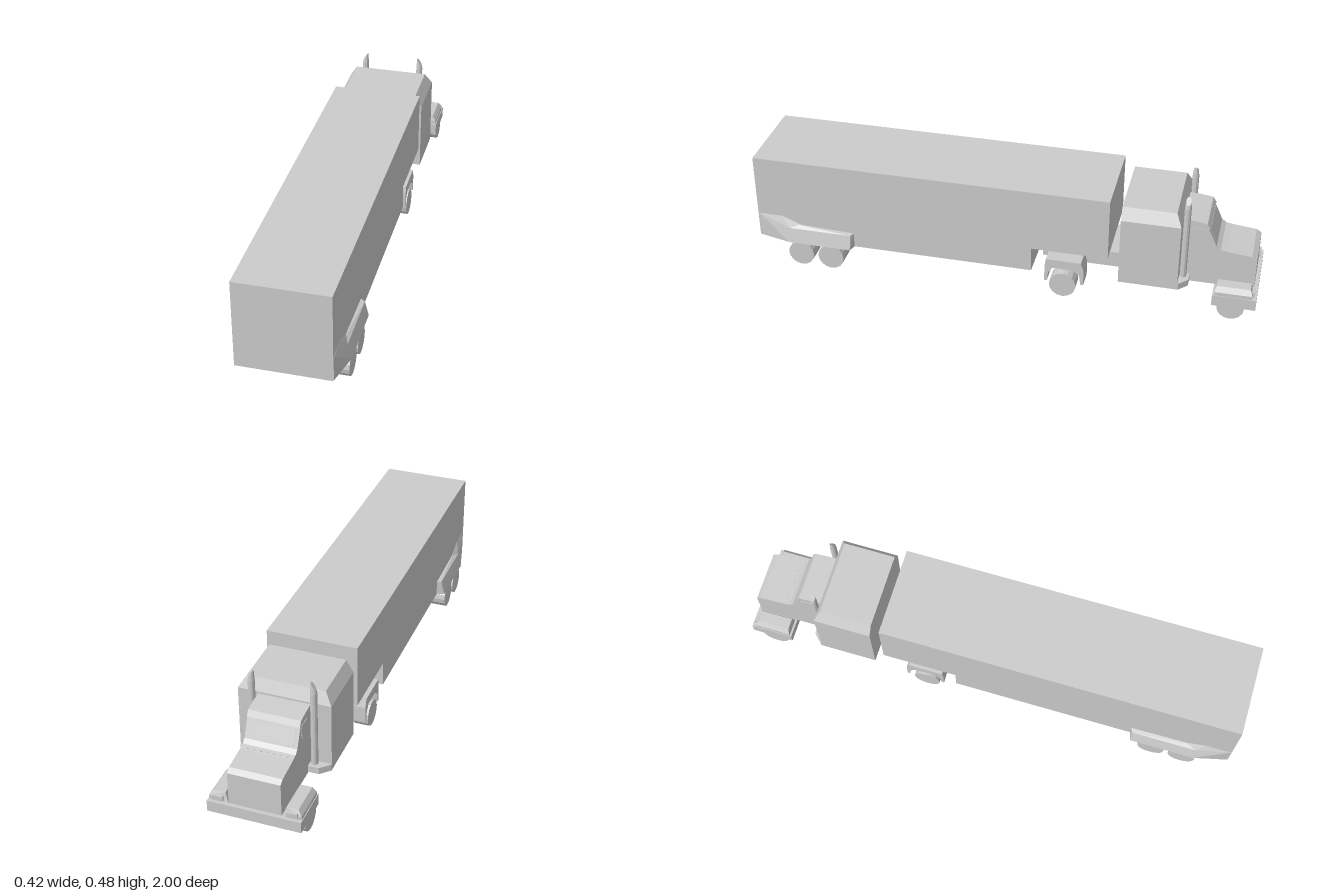
import * as THREE from 'three';
import { ConvexGeometry } from 'three/addons/geometries/ConvexGeometry.js';

const grey = new THREE.MeshStandardMaterial({ color: 0xcccccc, flatShading: true });

export function createModel() {
  const model = new THREE.Group();

  const add = (name, geometry) => {
    const mesh = new THREE.Mesh(geometry, grey);
    mesh.name = name;
    model.add(mesh);
    return mesh;
  };

  // Box given by its lower and upper limits on each axis
  const box = (name, [x0, x1], [y0, y1], [z0, z1]) => {
    const g = new THREE.BoxGeometry(Math.abs(x1 - x0), y1 - y0, z1 - z0);
    return add(name, g.translate((x0 + x1) / 2, (y0 + y1) / 2, (z0 + z1) / 2));
  };

  // Side profile of [z, y] points, extruded across x
  const profile = (name, points, x0, x1) => {
    const shape = new THREE.Shape(points.map(([z, y]) => new THREE.Vector2(z, y)));
    const depth = Math.abs(x1 - x0);
    const g = new THREE.ExtrudeGeometry(shape, { depth, bevelEnabled: false });
    return add(name, g.translate(0, 0, -depth / 2).rotateY(-Math.PI / 2).translate((x0 + x1) / 2, 0, 0));
  };

  // Faceted solid around a few corners, optionally mirrored
  const solid = (name, points, side = 1) =>
    add(name, new ConvexGeometry(points.map(([x, y, z]) => new THREE.Vector3(x * side, y, z))));

  const wheel = (name, side, z, x0, x1) => {
    const g = new THREE.CylinderGeometry(0.053, 0.053, x1 - x0, 16).rotateZ(Math.PI / 2);
    add(name, g.translate(side * (x0 + x1) / 2, 0.053, z));
  };

  // Trailer with its raised nose
  profile('trailerBody', [
    [1, 0.103], [1, 0.46], [-0.425, 0.46], [-0.425, 0.205], [-0.125, 0.205], [-0.125, 0.103],
  ], -0.178, 0.178);

  // Tractor frame and coupling
  box('tractorFrame', [-0.1, 0.1], [0.13, 0.185], [-0.48, -0.155]);
  box('frameRail', [-0.1, 0.1], [0.12, 0.13], [-0.48, -0.33]);
  add('coupling', new THREE.CylinderGeometry(0.018, 0.018, 0.03, 12).translate(0, 0.195, -0.295));

  // Sleeper with sloped roof edges
  const sleeper = [];
  for (const s of [-1, 1]) {
    sleeper.push(
      [s * 0.178, 0.105, -0.468], [s * 0.178, 0.105, -0.697],
      [s * 0.178, 0.385, -0.468], [s * 0.178, 0.385, -0.697],
      [s * 0.15, 0.432, -0.468], [s * 0.15, 0.432, -0.675]);
  }
  solid('sleeper', sleeper);

  // Driver cab and hood in one profile
  profile('cabAndHood', [
    [-0.69, 0.1], [-0.69, 0.378], [-0.725, 0.375], [-0.785, 0.365], [-0.795, 0.345],
    [-0.828, 0.273], [-0.845, 0.26], [-0.87, 0.255], [-0.965, 0.245], [-0.985, 0.232], [-0.985, 0.1],
  ], -0.1, 0.1);

  // Windscreen pane, visor and vents
  profile('windscreen', [
    [-0.797, 0.335], [-0.8, 0.336], [-0.825, 0.283], [-0.822, 0.282],
  ], -0.085, 0.085);
  profile('sunVisor', [
    [-0.725, 0.376], [-0.787, 0.368], [-0.8, 0.347], [-0.795, 0.345], [-0.78, 0.36],
  ], -0.1, 0.1);
  for (let i = -3; i <= 3; i++) {
    box('hoodVent', [i * 0.025 - 0.003, i * 0.025 + 0.003], [0.255, 0.259], [-0.863, -0.857]);
  }

  // Front bumper tray
  box('bumper', [-0.178, 0.178], [0.055, 0.1], [-1, -0.832]);

  for (const s of [-1, 1]) {
    // Door window
    box('sideWindow', [s * 0.095, s * 0.102], [0.29, 0.345], [-0.785, -0.735]);

    // Front fender carrying the headlamp
    const fender = [];
    for (const z of [-0.84, -0.985]) {
      fender.push([0.1, 0.095, z], [0.175, 0.095, z], [0.175, 0.115, z]);
    }
    for (const z of [-0.845, -0.975]) fender.push([0.115, 0.135, z], [0.16, 0.135, z]);
    solid('frontFender', fender, s);
    box('headlamp', [s * 0.12, s * 0.16], [0.104, 0.124], [-0.992, -0.97]);

    // Exhaust stack with slanted tip, on its step
    const stack = new THREE.CylinderGeometry(0.013, 0.013, 0.33, 10).translate(s * 0.118, 0.275, -0.711);
    add('exhaustStack', stack);
    const tip = new THREE.CylinderGeometry(0.01, 0.013, 0.03, 10);
    const p = tip.attributes.position;
    for (let i = 0; i < p.count; i++) {
      if (p.getY(i) > 0) p.setY(i, 0.015 - s * p.getX(i) * 1.5);
    }
    add('exhaustTip', tip.translate(s * 0.118, 0.455, -0.711));
    const step = [];
    for (const y of [0.105, 0.132]) {
      step.push([0.09, y, -0.69], [0.178, y, -0.69], [0.178, y, -0.7], [0.142, y, -0.735], [0.09, y, -0.735]);
    }
    solid('cabStep', step, s);

    // Drive wheel fender: an arch with hanging flaps
    profile('driveFender', [
      [-0.178, 0.065], [-0.178, 0.13], [-0.183, 0.165], [-0.322, 0.165], [-0.333, 0.13], [-0.333, 0.065],
      [-0.322, 0.065], [-0.316, 0.105], [-0.295, 0.128], [-0.21, 0.128], [-0.193, 0.105], [-0.188, 0.065],
    ], s * 0.1, s * 0.178);
    box('axle', [0, s * 0.125], [0.045, 0.061], [-0.913, -0.897]);

    // Trailer fender: a sloped front half and a wedge fading out at the rear
    solid('trailerFender', [
      [0.17, 0.103, 0.6], [0.17, 0.165, 0.6], [0.178, 0.165, 0.6], [0.178, 0.103, 0.6],
      [0.195, 0.162, 0.61], [0.21, 0.103, 0.61], [0.195, 0.162, 0.87], [0.21, 0.103, 0.87],
      [0.17, 0.103, 0.87], [0.17, 0.175, 0.87], [0.178, 0.175, 0.87],
    ], s);
    solid('trailerFenderTail', [
      [0.17, 0.103, 0.8], [0.178, 0.165, 0.8], [0.21, 0.103, 0.865], [0.195, 0.162, 0.865],
      [0.17, 0.205, 0.9], [0.178, 0.205, 0.9],
      [0.17, 0.103, 0.995], [0.179, 0.103, 0.995], [0.179, 0.205, 0.995], [0.17, 0.205, 0.995],
    ], s);

    // Wheels
    wheel('frontWheel', s, -0.905, 0.118, 0.176);
    wheel('driveWheel', s, -0.25, 0.118, 0.178);
    for (const z of [0.695, 0.82]) wheel('trailerWheel', s, z, 0.118, 0.203);
  }

  return model;
}
